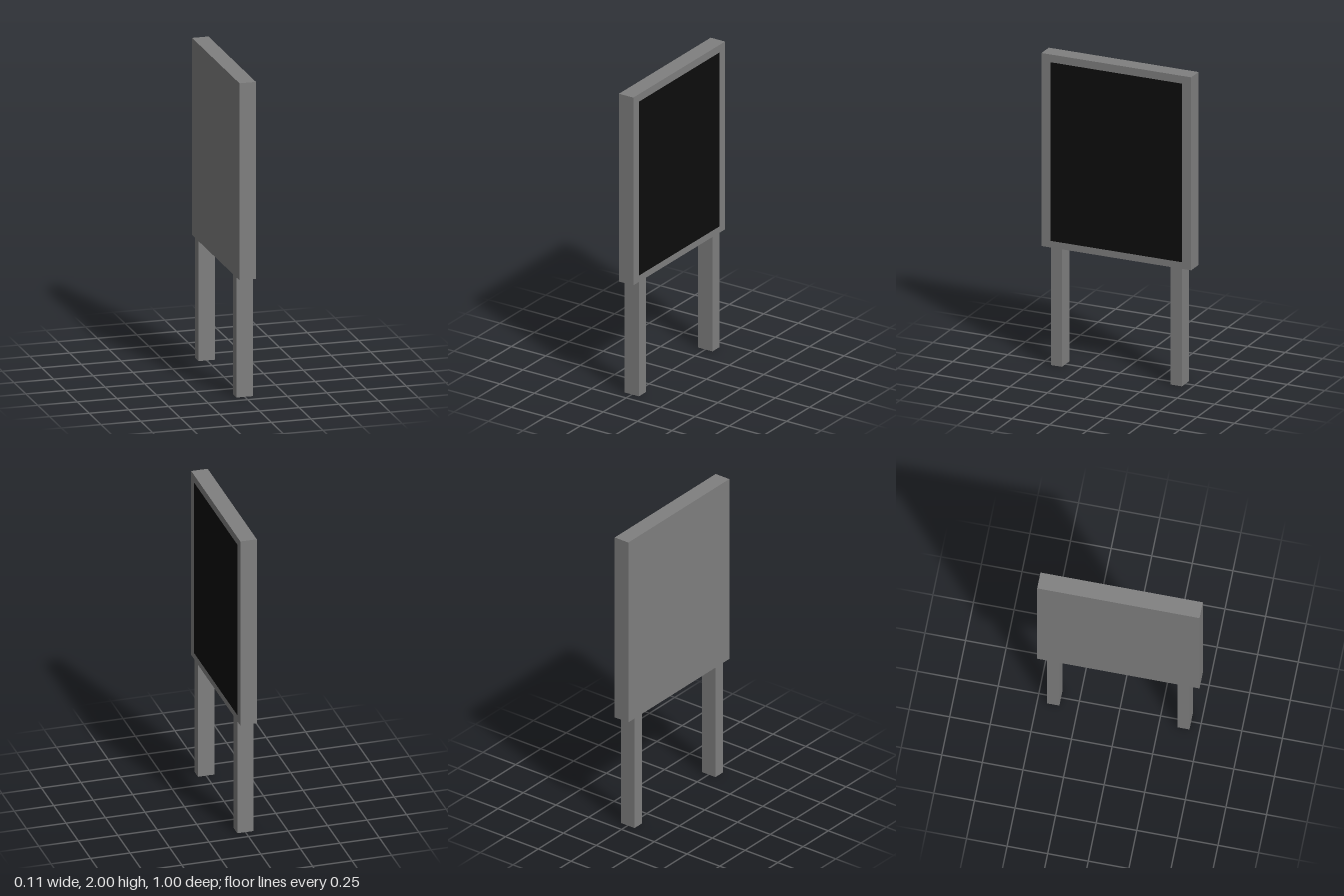
import * as THREE from 'three';

export function createModel() {
  const model = new THREE.Group();
  model.name = 'displayStand';

  const frameGrey = new THREE.MeshStandardMaterial({ color: 0x808080 });
  frameGrey.name = 'frame grey';
  const screenBlack = new THREE.MeshStandardMaterial({ color: 0x0d0d0d });
  screenBlack.name = 'screen black';

  const depth = 0.104;   // thickness along x, shared by panel and legs
  const panelBase = 0.757;

  // Box given by its centre in x and its ranges in y and z
  function addBox(name, material, width, x, [y0, y1], [z0, z1]) {
    const mesh = new THREE.Mesh(new THREE.BoxGeometry(width, y1 - y0, z1 - z0), material);
    mesh.name = name;
    mesh.position.set(x, (y0 + y1) / 2, (z0 + z1) / 2);
    model.add(mesh);
  }

  // Upright panel, with the black screen on its +x face
  addBox('panel', frameGrey, depth, 0, [panelBase, 2], [-0.5, 0.5]);
  addBox('screen', screenBlack, 0.002, depth / 2, [0.8, 1.95], [-0.438, 0.438]);

  // Two square legs
  addBox('frontLeg', frameGrey, depth, 0, [0, panelBase], [0.363, 0.438]);
  addBox('backLeg', frameGrey, depth, 0, [0, panelBase], [-0.438, -0.363]);

  return model;
}
